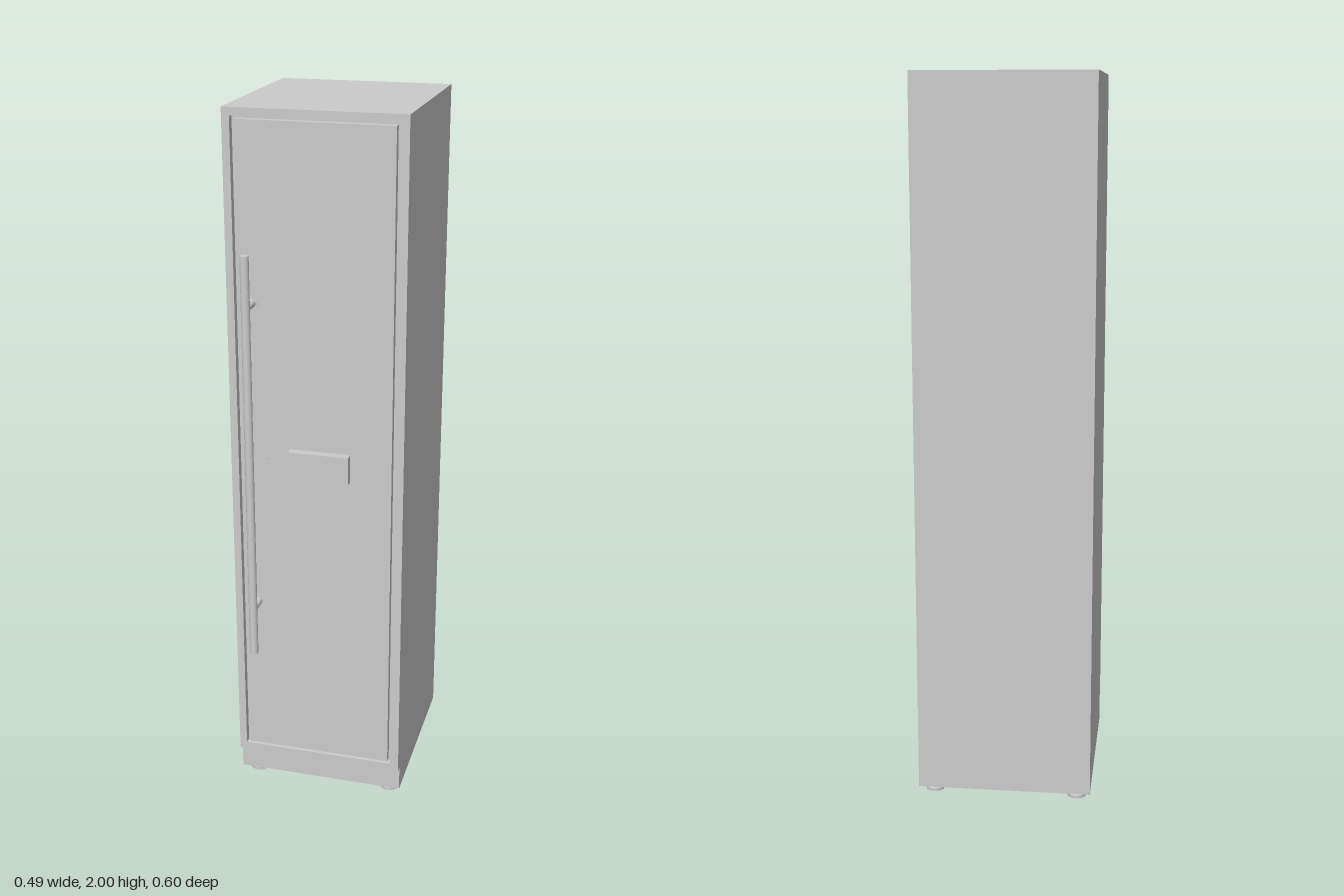
import * as THREE from 'three';

export function createModel() {
  const model = new THREE.Group();
  const mat = new THREE.MeshStandardMaterial({ color: 0xcccccc });

  const add = (name, geometry, x = 0, y = 0, z = 0) => {
    const mesh = new THREE.Mesh(geometry, mat);
    mesh.name = name;
    mesh.position.set(x, y, z);
    model.add(mesh);
    return mesh;
  };
  // box given by its min and max corners
  const box = (name, [x0, y0, z0], [x1, y1, z1]) =>
    add(name, new THREE.BoxGeometry(x1 - x0, y1 - y0, z1 - z0),
      (x0 + x1) / 2, (y0 + y1) / 2, (z0 + z1) / 2);
  // cylinder lying along z, from z0 to z1
  const rod = (name, r, x, y, z0, z1) =>
    add(name, new THREE.CylinderGeometry(r, r, z1 - z0, 24).rotateX(Math.PI / 2),
      x, y, (z0 + z1) / 2);
  const trace = (path, x0, y0, x1, y1) =>
    path.moveTo(x0, y0).lineTo(x1, y0).lineTo(x1, y1).lineTo(x0, y1).closePath();

  const W = 0.243, BACK = -0.302, FRONT = 0.235, GROOVE = 0.02, GAP = 0.008;
  const grooveZ = FRONT - GROOVE;

  // cabinet body and recessed plinth share one flush outline
  box('cabinet', [-W, 0.025, BACK], [W, 2, grooveZ]);

  // front frame with an opening for the door
  const d = { x0: -0.222, x1: 0.218, y0: 0.122, y1: 1.979 };
  const frame = new THREE.Shape();
  trace(frame, -W, 0.1, W, 2);
  const opening = new THREE.Path();
  trace(opening, d.x0, d.y0, d.x1, d.y1);
  frame.holes.push(opening);
  add('frontFrame', new THREE.ExtrudeGeometry(frame, { depth: GROOVE, bevelEnabled: false }), 0, 0, grooveZ);

  // door, set in the frame with a narrow gap all round
  box('door', [d.x0 + GAP, d.y0 + GAP, grooveZ], [d.x1 - GAP, d.y1 - GAP, FRONT]);

  // bar handle on two standoffs with small rosettes
  const hx = -0.173, hz = 0.29;
  add('handleBar', new THREE.CylinderGeometry(0.012, 0.012, 1.165, 24), hx, 1.053, hz);
  for (const y of [0.612, 1.495]) {
    rod('handleStandoff', 0.011, hx, y, FRONT, hz);
    rod('handleRosette', 0.017, hx, y, FRONT, FRONT + 0.002);
  }

  // lock and control panel
  rod('lock', 0.009, -0.147, 1.054, FRONT, FRONT + 0.004);
  box('controlPanel', [-0.073, 1.01, FRONT], [0.095, 1.09, 0.26]);

  // levelling feet: a disc with a tapered top and a stem
  const footProfile = [[0, 0], [0.026, 0], [0.026, 0.009], [0.011, 0.012], [0.011, 0.026]]
    .map(([r, y]) => new THREE.Vector2(r, y));
  // repeated points keep the profile edges sharp
  const footParts = footProfile.slice(1).map((p, i) =>
    new THREE.LatheGeometry([footProfile[i], p], 24));
  for (const x of [-0.203, 0.203])
    for (const z of [-0.254, 0.17])
      footParts.forEach((g) => add('foot', g, x, 0, z));

  return model;
}
